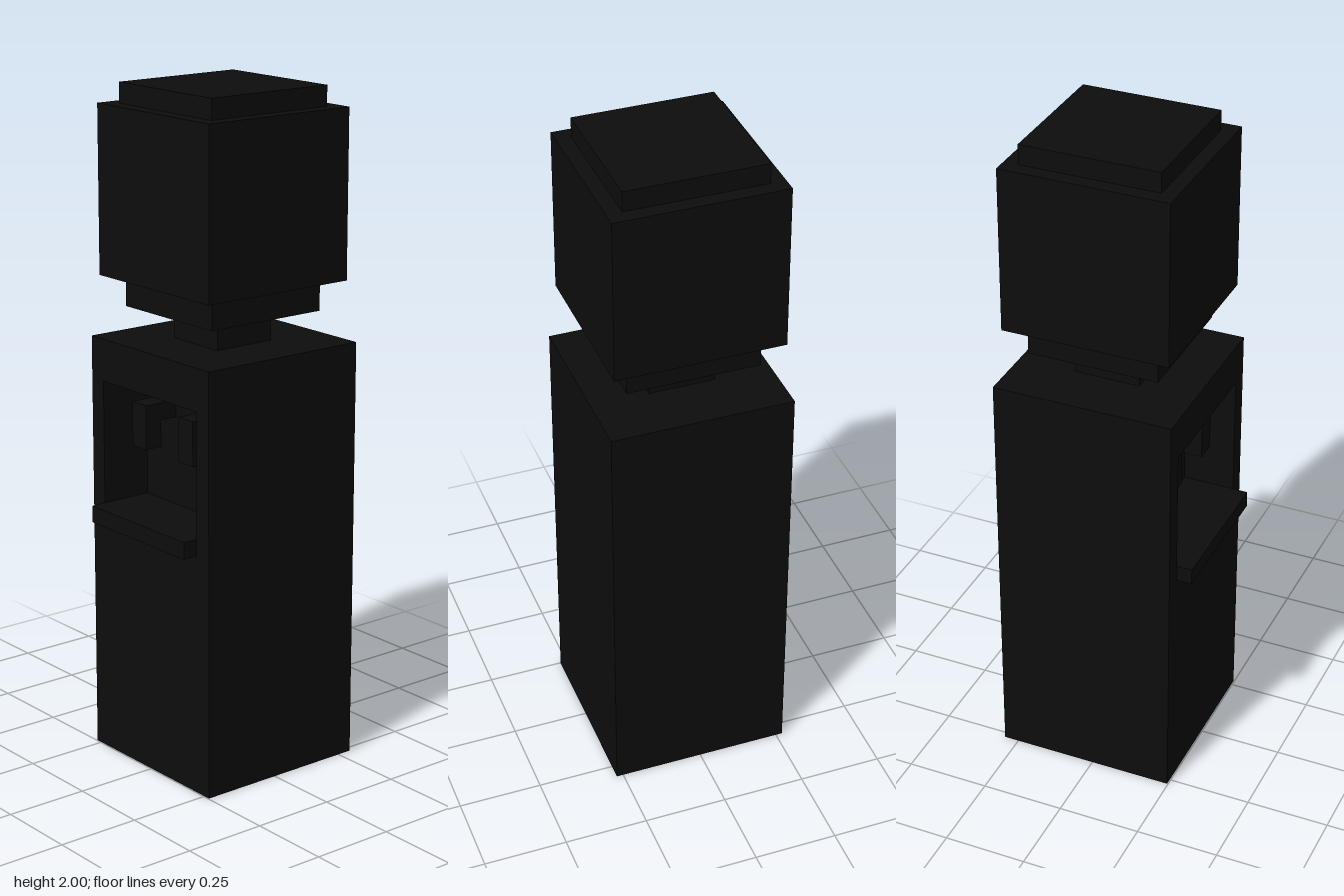
import * as THREE from 'three';

export function createModel() {
  const model = new THREE.Group();
  model.name = 'waterCooler';
  const black = new THREE.MeshStandardMaterial({ color: 0x0d0d0d });
  black.name = 'black';

  // Box given by its minimum and maximum on each axis
  function box(name, [x0, x1], [y0, y1], [z0, z1], parent = model) {
    const mesh = new THREE.Mesh(new THREE.BoxGeometry(x1 - x0, y1 - y0, z1 - z0), black);
    mesh.position.set((x0 + x1) / 2, (y0 + y1) / 2, (z0 + z1) / 2);
    mesh.name = name;
    parent.add(mesh);
  }

  const back = -0.295, front = 0.247, niche = 0.09;
  const W = 0.27, H = 1.265, nicheW = 0.216, nicheY0 = 0.72, nicheY1 = 1.14;

  // Cabinet: one profile with a serving niche cut into its front half
  const rect = (shape, w, y0, y1) =>
    shape.moveTo(-w, y0).lineTo(w, y0).lineTo(w, y1).lineTo(-w, y1).closePath();
  const outline = rect(new THREE.Shape(), W, 0, H);
  outline.holes.push(rect(new THREE.Path(), nicheW, nicheY0, nicheY1));
  const frontHalf = new THREE.Mesh(
    new THREE.ExtrudeGeometry(outline, { depth: front - niche, bevelEnabled: false }), black);
  frontHalf.position.z = niche;
  frontHalf.name = 'cabinetFront';
  model.add(frontHalf);
  box('cabinetBack', [-W, W], [0, H], [back, niche]);

  // Drip tray, filling the niche floor and sticking out in front
  box('dripTray', [-nicheW, nicheW], [nicheY0, 0.77], [niche, 0.293]);

  // Two taps, each an arm with a downward spout
  for (const side of [-1, 1]) {
    const tap = new THREE.Group();
    tap.name = side > 0 ? 'leftTap' : 'rightTap';
    const x = 0.108 * side;
    box('tapArm', [x - 0.032, x + 0.032], [1.035, 1.087], [niche, 0.2], tap);
    box('tapSpout', [x - 0.032, x + 0.032], [0.955, 1.035], [0.145, 0.2], tap);
    model.add(tap);
  }

  // Stepped square bottle upside down on the cabinet
  const bottle = new THREE.Group();
  bottle.name = 'bottle';
  const zc = -0.021;
  for (const [name, w, y0, y1] of [
    ['bottleNeck', 0.099, 1.265, 1.355],
    ['bottleShoulder', 0.197, 1.355, 1.445],
    ['bottleBody', 0.251, 1.445, 1.94],
    ['bottleBase', 0.207, 1.94, 2],
  ]) box(name, [-w, w], [y0, y1], [zc - w, zc + w], bottle);
  model.add(bottle);

  return model;
}
